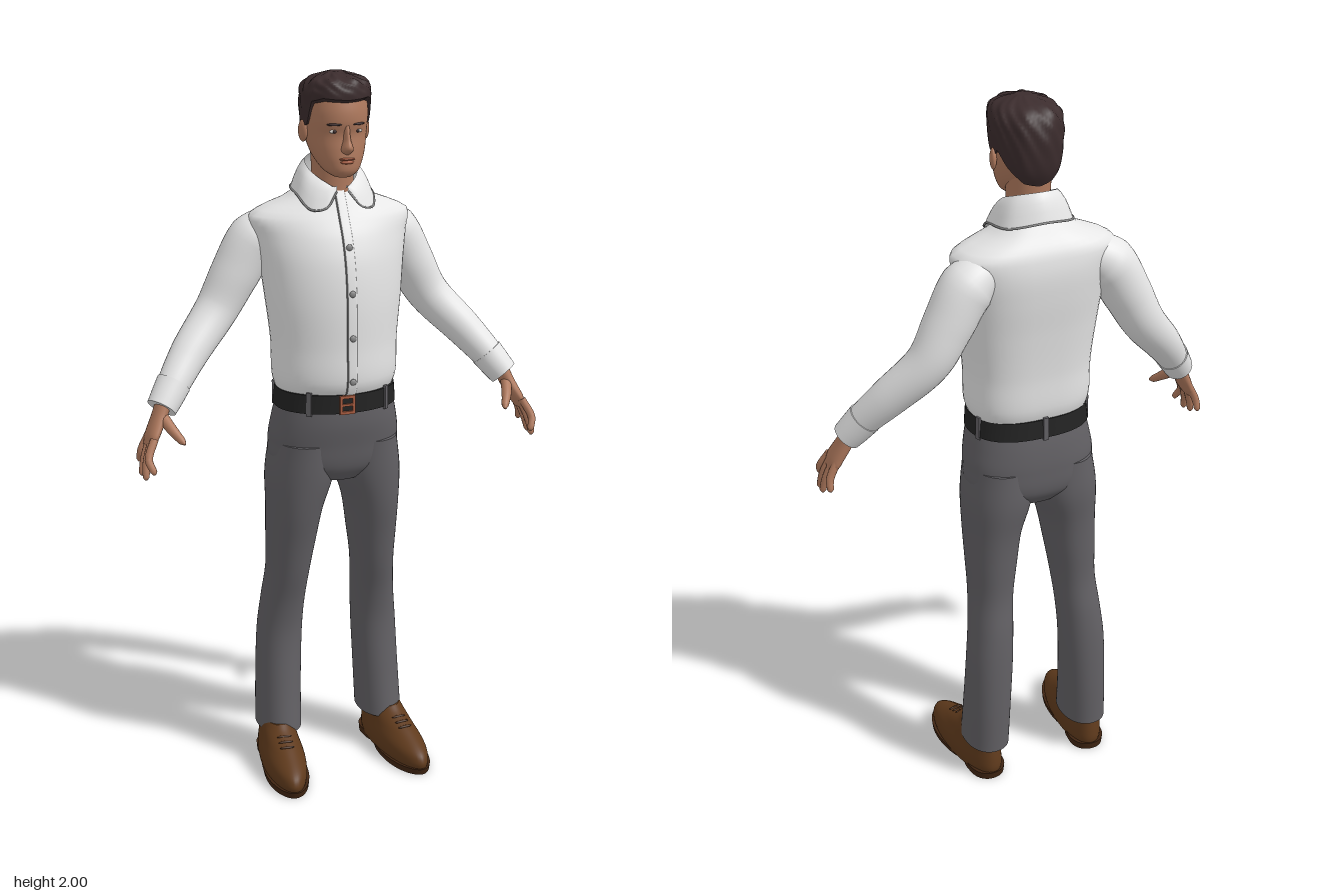
import * as THREE from 'three';

const mat = (name, color) => {
  const m = new THREE.MeshStandardMaterial({ color });
  m.name = name;
  return m;
};
const V = (x, y, z) => new THREE.Vector3(x, y, z);

// Closed surface through rings of points, with flat end caps
function skin(rings) {
  const n = rings[0].length, m = rings.length, pos = [], idx = [];
  rings.forEach(r => r.forEach(p => pos.push(p.x, p.y, p.z)));
  for (let i = 0; i < m - 1; i++) for (let j = 0; j < n; j++) {
    const k = (j + 1) % n, a = i * n + j, b = i * n + k;
    idx.push(a, b, b + n, a, b + n, a + n);
  }
  [rings[0], rings[m - 1]].forEach((ring, top) => {
    const base = pos.length / 3, c = V(0, 0, 0);
    ring.forEach(p => { pos.push(p.x, p.y, p.z); c.addScaledVector(p, 1 / n); });
    pos.push(c.x, c.y, c.z);
    for (let j = 0; j < n; j++) {
      const a = base + j, b = base + (j + 1) % n;
      top ? idx.push(base + n, a, b) : idx.push(base + n, b, a);
    }
  });
  const g = new THREE.BufferGeometry();
  g.setAttribute('position', new THREE.Float32BufferAttribute(pos, 3));
  g.setIndex(idx);
  g.computeVertexNormals();
  return g;
}

// Smooth lookup in horizontal sections [y, centreX, halfWidth, zFront, zBack], y rising
function sample(sec, y) {
  const last = sec.length - 1;
  let i = 0;
  while (i < last - 1 && y > sec[i + 1][0]) i++;
  const tan = (k, c) => {
    const a = sec[Math.max(k - 1, 0)], b = sec[Math.min(k + 1, last)];
    return (b[c] - a[c]) / (b[0] - a[0]);
  };
  const h = sec[i + 1][0] - sec[i][0], t = Math.min(Math.max((y - sec[i][0]) / h, 0), 1);
  return [1, 2, 3, 4].map(c =>
    (1 + 2 * t) * (1 - t) ** 2 * sec[i][c] + t * (1 - t) ** 2 * h * tan(i, c) +
    t * t * (3 - 2 * t) * sec[i + 1][c] + t * t * (t - 1) * h * tan(i + 1, c));
}
// Point on a section: angle 0 is the front; separate roundness for front and back
function at(sec, y, a, pf = 2, pb = 2) {
  const [cx, rx, zf, zb] = sample(sec, y), s = Math.sin(a), c = Math.cos(a), e = 2 / (c > 0 ? pf : pb);
  return V(cx + Math.max(rx, 0.002) * Math.sign(s) * Math.abs(s) ** e, y,
    (zf + zb) / 2 + (zf - zb) / 2 * Math.sign(c) * Math.abs(c) ** e);
}
function loft(sec, pf, pb, steps = 28, n = 48) {
  const y0 = sec[0][0], y1 = sec[sec.length - 1][0];
  return skin(Array.from({ length: steps + 1 }, (_, i) => Array.from({ length: n }, (_, j) =>
    at(sec, y0 + (y1 - y0) * i / steps, j / n * Math.PI * 2, pf, pb))));
}
// Sweep along points [x, y, z, radius, second radius]; s mirrors x
function sweep(pts, s = 1, steps = 20, n = 20) {
  const curve = new THREE.CatmullRomCurve3(pts.map(p => V(p[0] * s, p[1], p[2])));
  return skin(Array.from({ length: steps + 1 }, (_, i) => {
    const t = i / steps, f = t * (pts.length - 1), k = Math.min(Math.floor(f), pts.length - 2);
    const r = d => THREE.MathUtils.lerp(pts[k][d] ?? pts[k][3], pts[k + 1][d] ?? pts[k + 1][3], f - k);
    const T = curve.getTangent(t), e1 = T.clone().cross(V(0, 0, 1)).normalize(), e0 = e1.clone().cross(T);
    return Array.from({ length: n }, (_, j) => {
      const a = j / n * Math.PI * 2;
      return curve.getPoint(t).addScaledVector(e0, r(3) * Math.cos(a)).addScaledVector(e1, r(4) * Math.sin(a));
    });
  }));
}

export function createModel() {
  const root = new THREE.Group();
  const shirt = mat('white cloth', 0xe6e6e6), seam = mat('grey seam', 0x8a8a8a);
  const cloth = mat('grey trousers', 0x626064), black = mat('black leather', 0x232323);
  const flesh = mat('skin', 0xb07a5e), hair = mat('dark brown hair', 0x3b2c2d);
  const shoe = mat('brown leather', 0x5f3a1c), sole = mat('dark sole', 0x402512);
  const copper = mat('copper', 0xa85c40), white = mat('eye white', 0xd8d2cc);
  shirt.side = THREE.DoubleSide;
  const add = (name, geo, m, x = 0, y = 0, z = 0) => {
    const mesh = new THREE.Mesh(geo, m);
    mesh.name = name;
    mesh.position.set(x, y, z);
    root.add(mesh);
    return mesh;
  };
  const ball = (name, m, p, sc) => {
    const b = add(name, new THREE.SphereGeometry(1, 20, 14), m, ...p);
    b.scale.set(...sc);
    return b;
  };

  // Shirt body
  const torso = [[1.135, 0, 0.158, 0.09, -0.15], [1.18, 0, 0.172, 0.11, -0.163], [1.28, 0, 0.175, 0.11, -0.165],
    [1.4, 0, 0.188, 0.108, -0.175], [1.5, 0, 0.2, 0.095, -0.187], [1.57, 0, 0.213, 0.072, -0.191],
    [1.62, 0, 0.222, 0.045, -0.184], [1.642, 0, 0.185, 0.032, -0.174], [1.662, 0, 0.13, 0.022, -0.16], [1.7, 0, 0.075, 0.0, -0.135]];
  add('shirtBody', loft(torso, 1.9, 2.7, 44), shirt);

  // Button placket with its seam and buttons
  const ys = [1.15, 1.18, 1.28, 1.4, 1.5, 1.57, 1.62, 1.66, 1.69];
  const front = y => sample(torso, y)[2];
  add('placket', loft(ys.map(y => [y, 0, 0.014, front(y) + 0.004, front(y) - 0.02]), 5, 5, 24, 24), shirt);
  const seamCurve = new THREE.CatmullRomCurve3(ys.map(y => V(-0.014, y, front(y) + 0.002)));
  add('placketSeam', new THREE.TubeGeometry(seamCurve, 30, 0.0022, 6), seam);
  [1.19, 1.31, 1.43, 1.55].forEach(y => ball('button', seam, [0, y, front(y) + 0.005], [0.009, 0.009, 0.005]));

  // Collar: top and bottom edges of one half, mirrored into a band
  const halfTop = [[0.012, 1.695, 0.022], [0.035, 1.71, 0.01], [0.055, 1.725, -0.012], [0.07, 1.745, -0.045], [0.058, 1.766, -0.1]];
  const halfLow = [[0.016, 1.69, 0.032], [0.05, 1.65, 0.046], [0.086, 1.645, 0.03], [0.106, 1.678, -0.03], [0.09, 1.69, -0.125]];
  const edge = (half, back) => new THREE.CatmullRomCurve3([...half.map(p => V(...p)), V(...back),
    ...half.map(p => V(-p[0], p[1], p[2])).reverse()]);
  const topEdge = edge(halfTop, [0, 1.776, -0.13]), lowEdge = edge(halfLow, [0, 1.705, -0.162]);
  const band = new THREE.PlaneGeometry(1, 1, 60, 4), bp = band.attributes.position;
  for (let i = 0; i < bp.count; i++) {
    const t = bp.getX(i) + 0.5, v = bp.getY(i) + 0.5;
    const p = lowEdge.getPoint(t).lerp(topEdge.getPoint(t), v);
    bp.setXYZ(i, p.x, p.y + 0.012 * Math.sin(v * Math.PI), p.z);
  }
  band.computeVertexNormals();
  add('collar', band, shirt);
  add('collarSeam', new THREE.TubeGeometry(lowEdge, 80, 0.003, 6), seam);

  // Trousers, belt, loops and buckle
  add('hips', loft([[0.89, 0, 0.08, 0.045, -0.14], [0.93, 0, 0.172, 0.07, -0.168], [1.0, 0, 0.184, 0.083, -0.173],
    [1.06, 0, 0.176, 0.092, -0.168], [1.13, 0, 0.16, 0.092, -0.155]], 2.2, 2.4), cloth);
  const beltSec = [[1.1, 0, 0.171, 0.102, -0.165], [1.152, 0, 0.166, 0.102, -0.16]];
  add('belt', loft(beltSec, 2.1, 2.5, 2), black);
  [0.7, -0.7, 1.9, -1.9, Math.PI].forEach(a => {
    const p = at(beltSec, 1.126, a, 2.1, 2.5);
    add('beltLoop', new THREE.BoxGeometry(0.014, 0.066, 0.008), cloth, p.x, p.y, p.z).rotation.y = a;
  });
  const frame = new THREE.Shape([[-0.022, -0.026], [0.022, -0.026], [0.022, 0.026], [-0.022, 0.026]].map(p => new THREE.Vector2(...p)));
  frame.holes.push(new THREE.Path([[-0.015, -0.018], [-0.015, 0.018], [0.015, 0.018], [0.015, -0.018]].map(p => new THREE.Vector2(...p))));
  add('buckle', new THREE.ExtrudeGeometry(frame, { depth: 0.008, bevelEnabled: false }), copper, -0.012, 1.125, 0.1);
  add('bucklePin', new THREE.BoxGeometry(0.034, 0.006, 0.006), copper, -0.012, 1.125, 0.106);

  // Neck and head
  add('neck', loft([[1.65, 0, 0.065, 0.01, -0.12], [1.72, 0, 0.056, 0.012, -0.11], [1.82, 0, 0.06, 0.02, -0.115]]), flesh);
  const head = [[1.73, 0, 0.022, 0.054, 0.005], [1.742, 0, 0.042, 0.067, -0.025], [1.77, 0, 0.061, 0.07, -0.07],
    [1.8, 0, 0.073, 0.068, -0.1], [1.84, 0, 0.081, 0.064, -0.12], [1.872, 0, 0.083, 0.071, -0.125],
    [1.91, 0, 0.083, 0.069, -0.125], [1.95, 0, 0.075, 0.055, -0.115], [1.98, 0, 0.045, 0.02, -0.08]];
  add('head', loft(head, 2.1, 2.1, 36), flesh);
  add('nose', loft([[1.79, 0, 0.008, 0.07, 0.04], [1.798, 0, 0.016, 0.083, 0.04], [1.808, 0, 0.016, 0.09, 0.04],
    [1.83, 0, 0.01, 0.081, 0.04], [1.865, 0, 0.009, 0.071, 0.04]], 1.8, 2, 16, 24), flesh);
  ball('upperLip', copper, [0, 1.779, 0.067], [0.022, 0.004, 0.008]);
  ball('lowerLip', copper, [0, 1.771, 0.067], [0.019, 0.005, 0.008]);

  // Hair: a cap whose lower edge follows the hairline
  const hairSec = [[1.78, 0, 0.068, 0.06, -0.112], [1.82, 0, 0.083, 0.068, -0.132], [1.87, 0, 0.089, 0.074, -0.14],
    [1.92, 0, 0.091, 0.078, -0.139], [1.955, 0, 0.088, 0.077, -0.128], [1.98, 0, 0.068, 0.06, -0.1], [1.997, 0, 0.02, 0.0, -0.04]];
  const line = [[0, 1.93], [0.7, 1.935], [1.1, 1.925], [1.3, 1.865], [1.6, 1.855], [1.75, 1.875], [2.1, 1.835], [2.6, 1.795], [3.15, 1.785]];
  const hairline = a => {
    let i = 0;
    while (i < line.length - 2 && a > line[i + 1][0]) i++;
    return THREE.MathUtils.mapLinear(a, line[i][0], line[i + 1][0], line[i][1], line[i + 1][1]);
  };
  const N = 80, R = 26;
  add('hair', skin(Array.from({ length: R + 1 }, (_, i) => Array.from({ length: N }, (_, j) => {
    const a = j / N * Math.PI * 2, v = i / R, y0 = hairline(Math.min(a, Math.PI * 2 - a));
    const y = y0 + (1.997 - y0) * (1 - (1 - v) ** 1.5), p = at(hairSec, y, a, 2.2, 2.1);
    const tuft = Math.sin(a * 11 + v * 9) * Math.sin(v * 13 + a * 3) * 0.004 * Math.sin(v * Math.PI);
    return p.multiply(V(1 + tuft * 8, 1, 1 + tuft * 8)).add(V(0, tuft, 0));
  }))), hair);

  for (const s of [1, -1]) {
    const side = s > 0 ? 'left' : 'right';
    // Face details
    ball(side + 'Eye', white, [s * 0.032, 1.85, 0.055], [0.013, 0.005, 0.006]);
    ball(side + 'Iris', hair, [s * 0.032, 1.85, 0.0595], [0.005, 0.0045, 0.003]);
    ball(side + 'Brow', hair, [s * 0.034, 1.868, 0.061], [0.02, 0.0035, 0.005]).rotation.y = s * 0.4;
    ball(side + 'Ear', flesh, [s * 0.088, 1.845, -0.03], [0.009, 0.029, 0.018]).rotation.y = -s * 0.3;

    // Sleeve and cuff
    add(side + 'Sleeve', sweep([[0.14, 1.59, -0.11, 0.055], [0.2, 1.55, -0.115, 0.072], [0.255, 1.46, -0.118, 0.067],
      [0.31, 1.365, -0.115, 0.059], [0.4, 1.265, -0.068, 0.052], [0.465, 1.185, -0.02, 0.043], [0.49, 1.15, -0.003, 0.038]], s, 36, 32), shirt);
    add(side + 'Cuff', sweep([[0.458, 1.195, -0.026, 0.047], [0.482, 1.162, -0.01, 0.044], [0.5, 1.138, 0.002, 0.041]], s, 6, 32), shirt);

    // Hand
    add(side + 'Palm', sweep([[0.488, 1.165, -0.005, 0.028, 0.022], [0.507, 1.12, 0.005, 0.032, 0.02],
      [0.533, 1.07, 0.02, 0.041, 0.017], [0.544, 1.045, 0.025, 0.036, 0.011]], s), flesh);
    [[0.055, 0.548, 0.985, 0.092], [0.036, 0.563, 0.964, 0.065], [0.014, 0.566, 0.967, 0.033], [-0.006, 0.56, 0.99, -0.015]].forEach(
      ([z, x, y, tz]) => add(side + 'Finger', sweep([[0.535, 1.07, z, 0.011], [0.557, (y + 1.06) / 2, (z + tz) / 2 + 0.003, 0.011],
        [x, y + 0.008, tz, 0.009], [x, y, tz, 0.003]], s, 12, 12), flesh));
    add(side + 'Thumb', sweep([[0.503, 1.12, 0.015, 0.016], [0.485, 1.09, 0.058, 0.014], [0.468, 1.068, 0.087, 0.01],
      [0.463, 1.062, 0.098, 0.003]], s, 12, 12), flesh);

    // Trouser leg
    add(side + 'Leg', loft([[0.105, 0.158, 0.064, 0.002, -0.18], [0.25, 0.153, 0.064, -0.018, -0.183], [0.4, 0.146, 0.064, -0.03, -0.18],
      [0.5, 0.138, 0.061, -0.018, -0.172], [0.6, 0.129, 0.06, 0.008, -0.157], [0.7, 0.122, 0.068, 0.03, -0.157], [0.8, 0.114, 0.077, 0.053, -0.16],
      [0.9, 0.099, 0.093, 0.068, -0.17], [1.0, 0.093, 0.085, 0.075, -0.165]].map(p => [p[0], p[1] * s, ...p.slice(2)]), 2.1, 2.2, 40), cloth);

    // Shoe with sole, heel and laces
    const foot = new THREE.Group();
    foot.name = side + 'Shoe';
    foot.position.x = s * 0.176;
    foot.rotation.y = s * 0.1;
    const n = root.children.length;
    add('shoeUpper', loft([[0.014, 0, 0.059, 0.184, -0.168], [0.035, 0, 0.062, 0.187, -0.172], [0.06, 0, 0.06, 0.168, -0.17],
      [0.09, 0, 0.052, 0.1, -0.165], [0.12, 0, 0.046, 0.025, -0.16], [0.135, 0, 0.042, 0.0, -0.155]], 1.9, 2.2), shoe);
    add('shoeSole', loft([[0, 0, 0.06, 0.186, -0.07], [0.018, 0, 0.063, 0.19, -0.09]], 1.9, 2.4, 2), sole);
    add('shoeHeel', loft([[0, 0, 0.05, -0.05, -0.17], [0.022, 0, 0.052, -0.045, -0.173]], 4, 2.2, 2), sole);
    [0.075, 0.055, 0.035].forEach(z =>
      ball('lace', sole, [0, 0.116 - (z - 0.03) * 0.36, z - 0.004], [0.022, 0.004, 0.005]));
    foot.add(...root.children.slice(n));
    root.add(foot);
  }
  return root;
}
